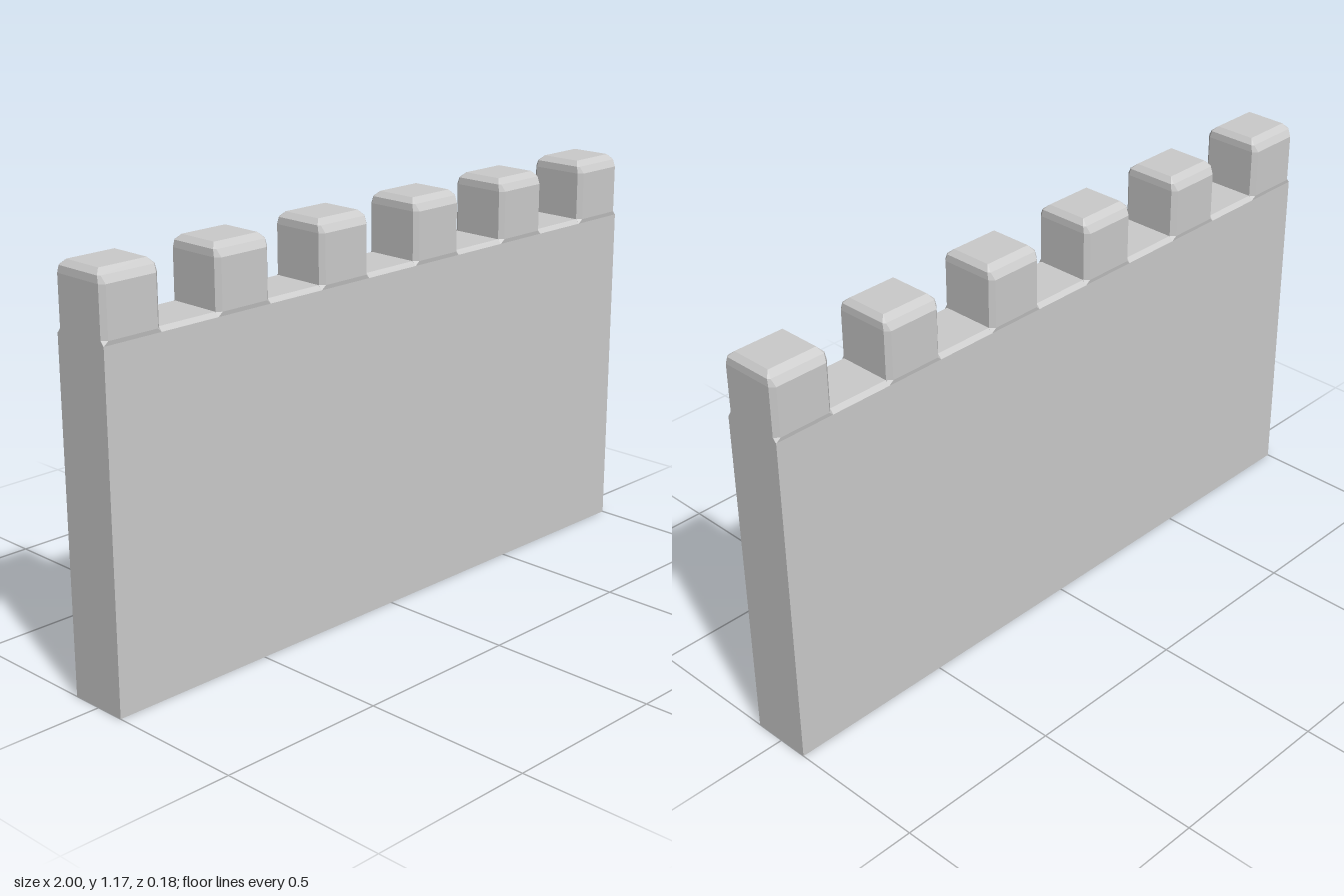
import * as THREE from 'three';

const material = new THREE.MeshStandardMaterial({ color: 0xcccccc, flatShading: true });

// Rectangle with cut corners, as eight points around the y axis
function ring([y, hx, hz, c]) {
  return [
    [hx, hz - c], [hx - c, hz], [c - hx, hz], [-hx, hz - c],
    [-hx, c - hz], [c - hx, -hz], [hx - c, -hz], [hx, c - hz],
  ].map(([x, z]) => [x, y, z]);
}

// Skin a stack of rings and close the top
function loft(sections) {
  const rings = sections.map(ring);
  const pos = [];
  const tri = (...points) => points.forEach((p) => pos.push(...p));
  for (let r = 0; r < rings.length - 1; r++) {
    for (let i = 0; i < 8; i++) {
      const j = (i + 1) % 8;
      const [lo, hi] = [rings[r], rings[r + 1]];
      tri(lo[i], hi[i], lo[j]);
      tri(lo[j], hi[i], hi[j]);
    }
  }
  const top = rings[rings.length - 1];
  for (let i = 1; i < 7; i++) tri(top[0], top[i + 1], top[i]);
  const geometry = new THREE.BufferGeometry();
  geometry.setAttribute('position', new THREE.Float32BufferAttribute(pos, 3));
  geometry.computeVertexNormals();
  return geometry;
}

export function createModel() {
  const group = new THREE.Group();
  group.name = 'battlementWall';

  // Wall slab: end profile with chamfered upper edges, extruded along x
  const profile = new THREE.Shape([
    [-0.09, 0], [0.09, 0], [0.09, 0.988], [0.078, 1], [-0.078, 1], [-0.09, 0.988],
  ].map(([x, y]) => new THREE.Vector2(x, y)));
  const slab = new THREE.ExtrudeGeometry(profile, { depth: 2, bevelEnabled: false });
  slab.translate(0, 0, -1).rotateY(Math.PI / 2);
  const wall = new THREE.Mesh(slab, material);
  wall.name = 'wall';
  group.add(wall);

  // Merlons: sections are [y, half width, half depth, corner cut]
  const merlonGeometry = loft([
    [0.988, 0.09, 0.09, 0.0005],
    [1.0, 0.09, 0.092, 0.013],
    [1.14, 0.09, 0.092, 0.013],
    [1.16, 0.088, 0.08, 0.006],
    [1.175, 0.074, 0.062, 0.0005],
  ]);
  for (let i = 0; i < 6; i++) {
    const merlon = new THREE.Mesh(merlonGeometry, material);
    merlon.name = `merlon${i + 1}`;
    merlon.position.x = -0.91 + i * 0.364;
    group.add(merlon);
  }
  return group;
}
